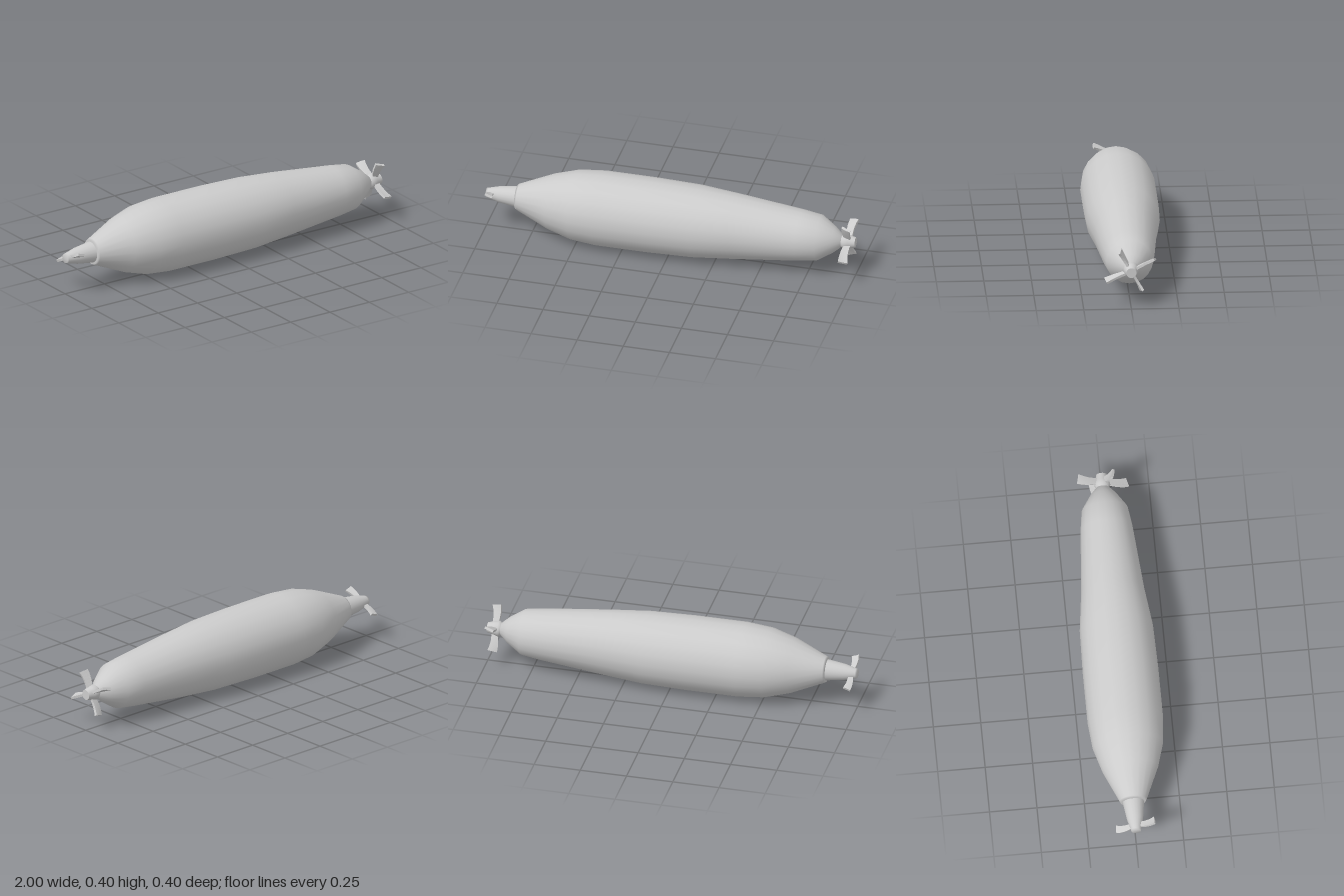
import * as THREE from 'three';

const AXIS_Y = 0.202;
const SIDES = 20;
const material = new THREE.MeshStandardMaterial({ color: 0xcccccc });

// Solid of revolution about the x axis; profile is [x, radius] with x rising
function turned(name, profile) {
  const geometry = new THREE.LatheGeometry(profile.map(([x, r]) => new THREE.Vector2(r, x)), SIDES);
  geometry.rotateZ(-Math.PI / 2);
  const mesh = new THREE.Mesh(geometry, material);
  mesh.name = name;
  return mesh;
}

// Thin blade along +y that widens, twists and curls towards its tip
function bladeGeometry(root, tip, chord) {
  const geometry = new THREE.BoxGeometry(1, 1, 1, 4, 6, 1).toNonIndexed();
  const p = geometry.attributes.position;
  for (let i = 0; i < p.count; i++) {
    const t = p.getY(i) + 0.5;
    const u = p.getX(i);
    const along = u * chord * (0.6 + 0.4 * t);
    const across = p.getZ(i) * 0.013 + 0.006 * (0.25 - u * u) * t;
    const pitch = 0.1 + 0.2 * t;
    const sweep = 0.007 * (2 * t - 1) * (2 * t - 1) - 0.004;
    p.setXYZ(
      i,
      along * Math.cos(pitch) - across * Math.sin(pitch) + sweep,
      root + (tip - root) * t - 0.006 * u * t,
      along * Math.sin(pitch) + across * Math.cos(pitch)
    );
  }
  geometry.computeVertexNormals();
  return geometry;
}

// Blades as [angle from up towards +z in degrees, tip radius]
function propeller(name, x, root, chord, blades) {
  const group = new THREE.Group();
  group.name = name;
  group.position.x = x;
  blades.forEach(([degrees, tip], i) => {
    const blade = new THREE.Mesh(bladeGeometry(root, tip, chord), material);
    blade.name = `${name}Blade${i + 1}`;
    blade.rotation.x = THREE.MathUtils.degToRad(degrees);
    group.add(blade);
  });
  return group;
}

export function createModel() {
  const model = new THREE.Group();
  model.name = 'torpedo';
  const assembly = new THREE.Group();
  assembly.name = 'torpedoAssembly';
  assembly.position.y = AXIS_Y;
  model.add(assembly);

  // Main hull, slightly narrowed sideways ahead of the middle
  const hull = turned('hull', [
    [-0.835, 0], [-0.835, 0.066], [-0.825, 0.072], [-0.65, 0.148], [-0.52, 0.186],
    [-0.38, 0.199], [-0.1, 0.199], [0.14, 0.193], [0.35, 0.177], [0.7, 0.137],
    [0.805, 0.122], [0.885, 0.07], [0.935, 0.026], [0.94, 0],
  ]);
  const p = hull.geometry.attributes.position;
  for (let i = 0; i < p.count; i++) {
    if (Math.abs(p.getX(i) - 0.35) < 0.01) p.setZ(i, p.getZ(i) * 0.94);
  }
  assembly.add(hull);

  // Small cone and its two-bladed propeller
  assembly.add(turned('smallCone', [
    [-0.99, 0.027], [-0.93, 0.043], [-0.83, 0.057],
  ].concat([[-0.82, 0.057]])));
  assembly.add(turned('smallConeCap', [[-1, 0], [-1, 0.025], [-0.99, 0.027]]));
  assembly.add(propeller('smallPropeller', -0.967, 0.015, 0.04, [[66, 0.11], [246, 0.11]]));

  // Hub and its four-bladed propeller
  assembly.add(turned('hub', [[0.925, 0.032], [0.94, 0.043], [0.965, 0.036], [1, 0.027]]));
  const cap = new THREE.Mesh(new THREE.CircleGeometry(0.027, SIDES), material);
  cap.name = 'hubCap';
  cap.rotation.y = Math.PI / 2;
  cap.position.x = 1;
  assembly.add(cap);
  assembly.add(propeller('largePropeller', 0.96, 0.02, 0.05, [
    [28, 0.123], [112, 0.143], [208, 0.123], [296, 0.14],
  ]));

  return model;
}
